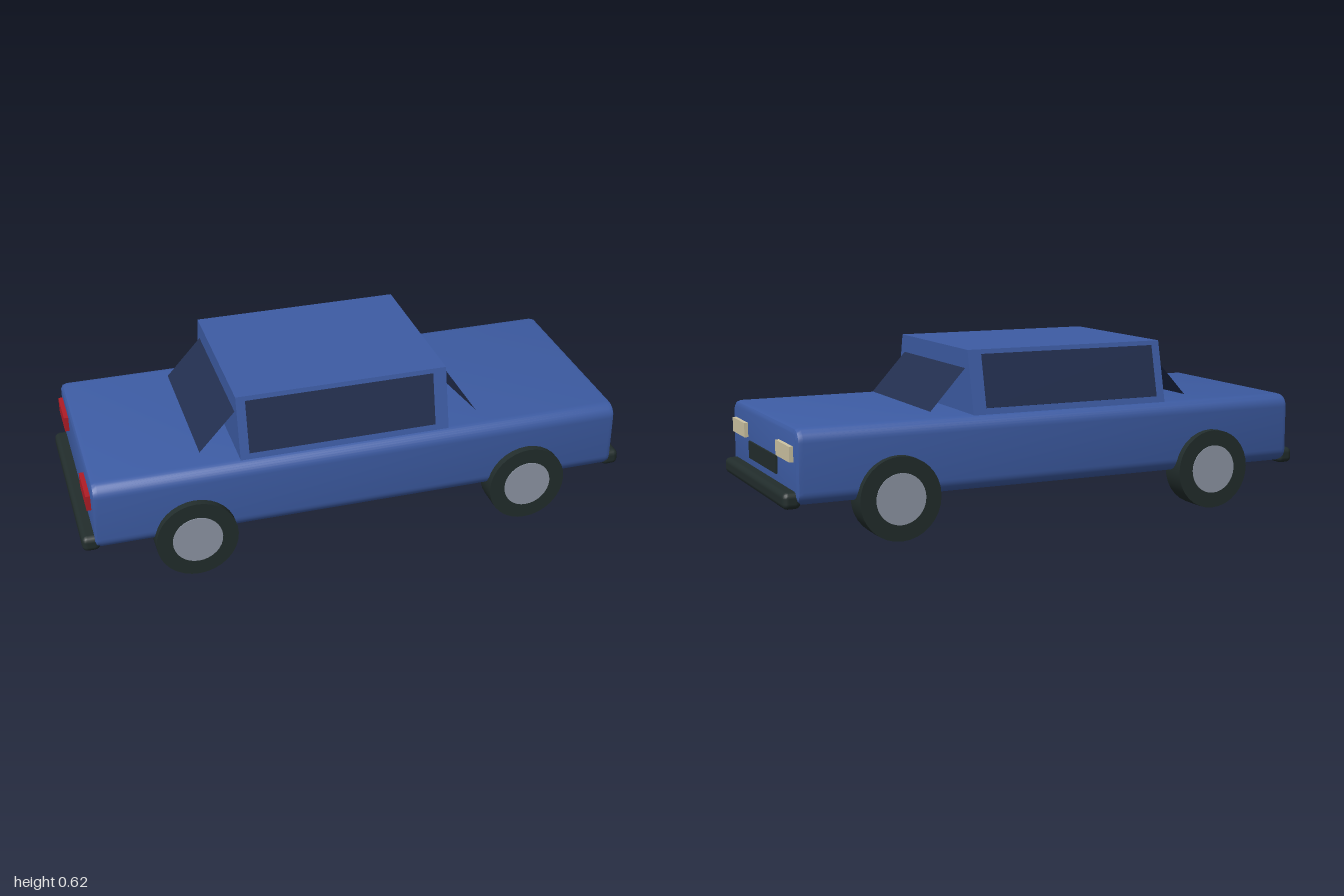
import * as THREE from 'three';
import { toCreasedNormals } from 'three/addons/utils/BufferGeometryUtils.js';
import { RoundedBoxGeometry } from 'three/addons/geometries/RoundedBoxGeometry.js';

const mat = (name, color, side = THREE.FrontSide) => {
  const m = new THREE.MeshStandardMaterial({ color, side });
  m.name = name;
  return m;
};

export function createModel() {
  const paint = mat('blue paint', 0x3d5ca4);
  const glass = mat('dark glass', 0x232f50, THREE.DoubleSide);
  const rubber = mat('black rubber', 0x222d2c);
  const steel = mat('hub steel', 0x8f97a6);
  const lamp = mat('headlight cream', 0xcdc3a3);
  const red = mat('tail light red', 0xb01c26);

  const car = new THREE.Group();
  car.name = 'car';
  const add = (name, geometry, material, x = 0, y = 0, z = 0, parent = car) => {
    const mesh = new THREE.Mesh(geometry, material);
    mesh.name = name;
    mesh.position.set(x, y, z);
    parent.add(mesh);
    return mesh;
  };

  // Lower body: rounded cross-section run along x, with bevelled ends
  const w = 0.391, y0 = 0.142, y1 = 0.397, r = 0.047;
  const section = new THREE.Shape();
  section.absarc(w - r, y0 + r, r, -Math.PI / 2, 0);
  section.absarc(w - r, y1 - r, r, 0, Math.PI / 2);
  section.absarc(-w + r, y1 - r, r, Math.PI / 2, Math.PI);
  section.absarc(-w + r, y0 + r, r, Math.PI, Math.PI * 1.5);
  const body = new THREE.ExtrudeGeometry(section, {
    depth: 1.87, curveSegments: 4, bevelEnabled: true,
    bevelThickness: 0.021, bevelSize: 0.016, bevelOffset: -0.016, bevelSegments: 2,
  });
  body.translate(0, 0, -0.935).rotateY(Math.PI / 2);
  add('body', toCreasedNormals(body, 0.5), paint);

  // Cabin: trapezoid section, narrower at the roof
  const cabinSection = new THREE.Shape([
    new THREE.Vector2(-0.359, 0.38), new THREE.Vector2(0.359, 0.38),
    new THREE.Vector2(0.304, 0.615), new THREE.Vector2(-0.304, 0.615),
  ]);
  const cabin = new THREE.ExtrudeGeometry(cabinSection, { depth: 0.757, bevelEnabled: false });
  cabin.rotateY(Math.PI / 2);
  add('cabin', cabin, paint, -0.437);

  // Side windows lie on the sloped cabin sides
  const lean = Math.atan2(0.055, 0.235);
  for (const s of [1, -1]) {
    const pane = add(s > 0 ? 'rightWindow' : 'leftWindow',
      new THREE.BoxGeometry(0.675, 0.187, 0.006), glass, -0.067, 0.508, s * 0.3295);
    pane.rotation.x = -s * lean;
  }

  // Sloping windscreen and rear window, standing off the cabin ends
  for (const s of [1, -1]) {
    const pane = new THREE.PlaneGeometry(0.567, 0.194);
    pane.rotateX(-Math.atan2(0.13, 0.143)).rotateY(s * Math.PI / 2);
    add(s > 0 ? 'windscreen' : 'rearWindow', pane, glass, -0.0575 + s * 0.4425, 0.479, 0);
  }

  // Bumpers
  for (const s of [1, -1]) {
    add(s > 0 ? 'frontBumper' : 'rearBumper',
      new RoundedBoxGeometry(0.063, 0.058, 0.74, 2, 0.02), rubber, s * 0.9685, 0.159, 0);
  }

  // Lights and grille
  for (const s of [1, -1]) {
    add('headlight', new THREE.BoxGeometry(0.03, 0.052, 0.156), lamp, 0.955, 0.31, s * 0.27);
    add('tailLight', new THREE.BoxGeometry(0.03, 0.056, 0.156), red, -0.957, 0.315, s * 0.27);
  }
  add('grille', new THREE.BoxGeometry(0.02, 0.061, 0.331), rubber, 0.953, 0.245, 0);

  // Wheels: tyre with a hub that shows on both faces
  const tyre = new THREE.CylinderGeometry(0.144, 0.144, 0.095, 32).rotateX(Math.PI / 2);
  const hub = new THREE.CylinderGeometry(0.088, 0.088, 0.1, 32).rotateX(Math.PI / 2);
  for (const x of [0.611, -0.611]) {
    for (const z of [0.37, -0.37]) {
      const wheel = new THREE.Group();
      wheel.name = (x > 0 ? 'front' : 'rear') + 'Wheel';
      wheel.position.set(x, 0.144, z);
      add('tyre', tyre, rubber, 0, 0, 0, wheel);
      add('hub', hub, steel, 0, 0, 0, wheel);
      car.add(wheel);
    }
  }
  return car;
}
